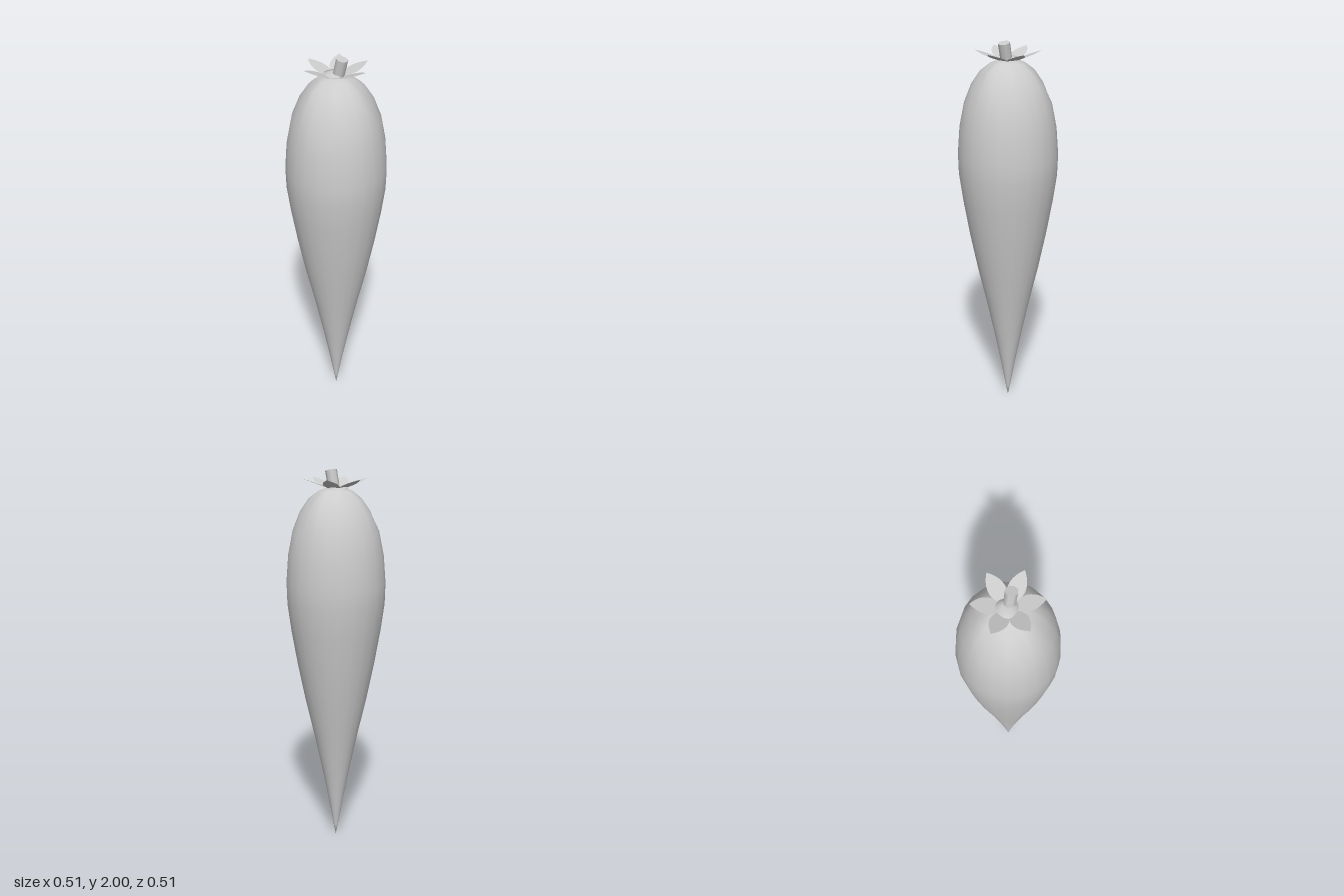
import * as THREE from 'three';
import { mergeVertices } from 'three/addons/utils/BufferGeometryUtils.js';

const grey = new THREE.MeshStandardMaterial({ color: 0xcccccc });
grey.name = 'plainGrey';
const greyThin = grey.clone();
greyThin.name = 'plainGreyThin';
greyThin.side = THREE.DoubleSide;

// Lathe whose radius is scaled by rule(angle, y), with seamless smooth normals
function pleatedLathe(profile, sides, rule) {
  let geo = new THREE.LatheGeometry(profile.map(([r, y]) => new THREE.Vector2(r, y)), sides);
  geo.deleteAttribute('uv');
  geo.deleteAttribute('normal');
  const p = geo.attributes.position;
  for (let i = 0; i < p.count; i++) {
    const k = rule(Math.atan2(p.getZ(i), p.getX(i)), p.getY(i));
    p.setX(i, p.getX(i) * k);
    p.setZ(i, p.getZ(i) * k);
  }
  geo = mergeVertices(geo, 1e-4);
  geo.computeVertexNormals();
  return geo;
}

export function createModel() {
  const model = new THREE.Group();
  const add = (name, geo, mat = grey) => {
    const mesh = new THREE.Mesh(geo, mat);
    mesh.name = name;
    model.add(mesh);
    return mesh;
  };

  // Long tapering body, gathered into soft folds near the top
  const body = [
    [0, 0], [0.012, 0.06], [0.036, 0.2], [0.071, 0.38], [0.117, 0.6], [0.163, 0.8],
    [0.203, 1.0], [0.234, 1.18], [0.253, 1.32], [0.256, 1.43], [0.245, 1.57],
    [0.22, 1.695], [0.178, 1.79], [0.132, 1.855], [0.085, 1.892], [0.045, 1.908], [0, 1.912],
  ];
  add('body', pleatedLathe(body, 22, (a, y) => {
    const fold = THREE.MathUtils.smoothstep(y, 1.68, 1.9);
    return 1 + 0.05 * fold * Math.sin(7 * a + 0.6);
  }));

  // Crumpled skin poking up around the stem
  const neck = [[0.06, 1.885], [0.046, 1.918], [0.02, 1.922], [0, 1.923]];
  const crumple = add('crumpledNeck', pleatedLathe(neck, 26,
    (a, y) => (y > 1.9 ? 1 + 0.22 * Math.cos(13 * a) + 0.08 * Math.sin(3 * a) : 1)));
  crumple.position.x = -0.012;

  // Ring of six pointed leaves rising outward
  const outline = new THREE.Shape();
  outline.moveTo(0, 0);
  outline.lineTo(0.045, 0.026);
  outline.bezierCurveTo(0.08, 0.052, 0.125, 0.042, 0.166, 0);
  outline.bezierCurveTo(0.125, -0.042, 0.08, -0.052, 0.045, -0.026);
  outline.closePath();
  const leafGeo = new THREE.ShapeGeometry(outline, 8);
  leafGeo.rotateX(-Math.PI / 2);
  const p = leafGeo.attributes.position;
  for (let i = 0; i < p.count; i++) p.setY(i, 1.892 + 0.38 * p.getX(i));
  leafGeo.computeVertexNormals();
  for (let i = 0; i < 6; i++) {
    add('leaf' + (i + 1), leafGeo, greyThin).rotation.y = (i * Math.PI) / 3;
  }

  // Short stem leaning to one side
  const stem = add('stem', new THREE.CylinderGeometry(0.03, 0.029, 0.11, 8));
  stem.position.set(0.021, 1.94, 0);
  stem.rotation.z = -0.24;

  return model;
}
